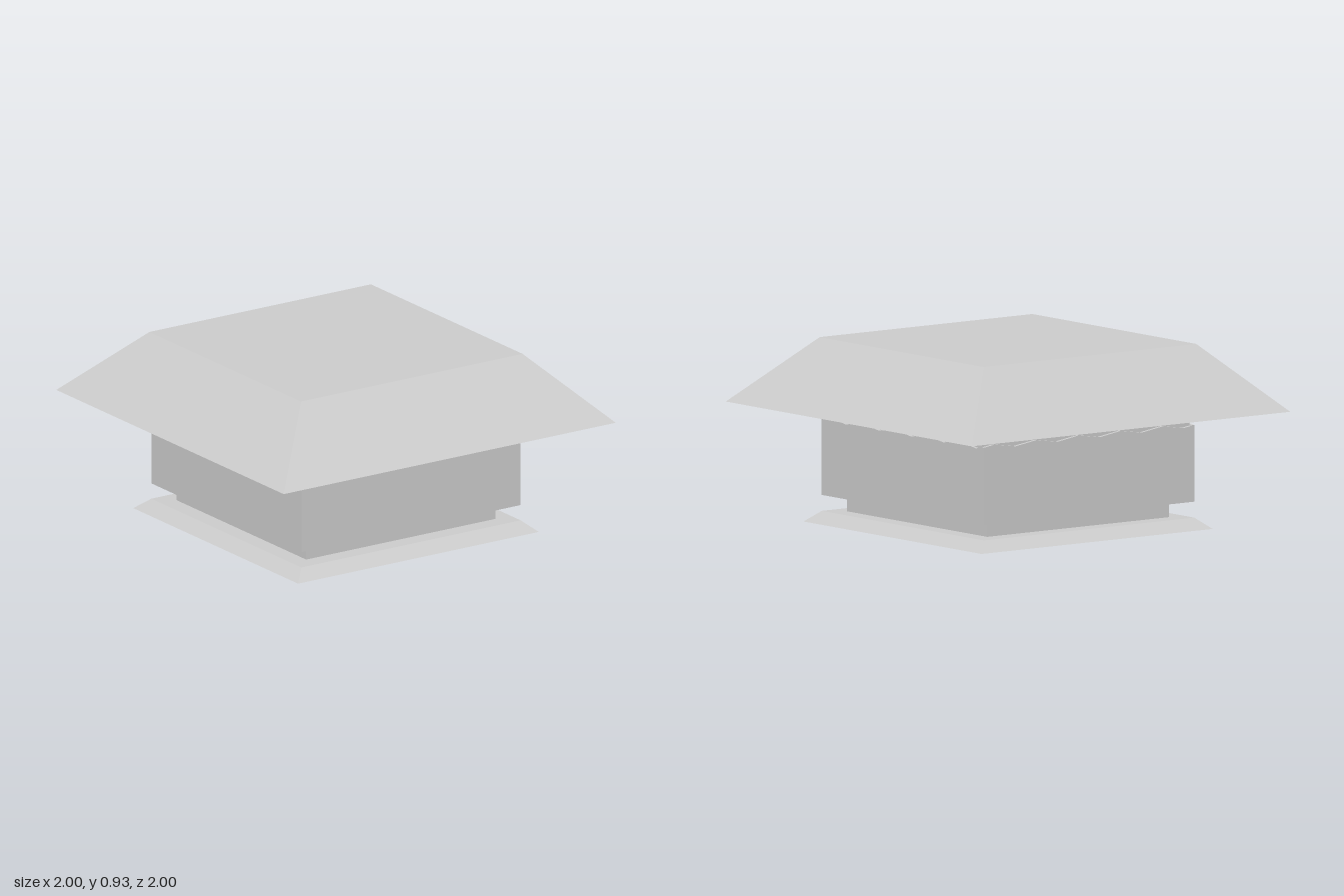
import * as THREE from 'three';

const material = new THREE.MeshStandardMaterial({ color: 0xcccccc, flatShading: true });

// Square block or frustum, given half widths at bottom and top
function squareBlock(name, halfBottom, halfTop, y0, y1) {
  const geo = new THREE.CylinderGeometry(halfTop * Math.SQRT2, halfBottom * Math.SQRT2, y1 - y0, 4, 1);
  geo.rotateY(Math.PI / 4);
  geo.translate(0, (y0 + y1) / 2, 0);
  const mesh = new THREE.Mesh(geo, material);
  mesh.name = name;
  return mesh;
}

const HALF = 0.66;   // outer half width of the cladding
const CORE = 0.643;  // half width of the recessed core
const WAVES = 5;
const AMP = 0.01;

// Zigzag edge running left to right around height y
function zigzag(y) {
  const period = (2 * HALF) / WAVES;
  const points = [new THREE.Vector2(-HALF, y)];
  for (let k = 0; k < WAVES * 2; k++) {
    points.push(new THREE.Vector2(-HALF + period * (0.25 + k / 2), y + (k % 2 ? -AMP : AMP)));
  }
  const gap = HALF - CORE;
  points.push(new THREE.Vector2(CORE, y - (AMP * gap) / (period / 4)));
  return points;
}

// Thin panel on the front face: one flat edge, one zigzag edge
function panel(name, flatY, zigzagY) {
  const shape = new THREE.Shape([
    ...zigzag(zigzagY),
    new THREE.Vector2(CORE, flatY),
    new THREE.Vector2(-HALF, flatY),
  ]);
  const geo = new THREE.ExtrudeGeometry(shape, { depth: HALF - CORE, bevelEnabled: false });
  geo.translate(0, 0, CORE);
  const mesh = new THREE.Mesh(geo, material);
  mesh.name = name;
  return mesh;
}

export function createModel() {
  const model = new THREE.Group();
  model.name = 'ventCap';

  model.add(
    squareBlock('basePlate', 0.725, 0.66, 0, 0.055),
    squareBlock('neck', 0.57, 0.57, 0.055, 0.135),
    squareBlock('core', CORE, CORE, 0.135, 0.595),
    squareBlock('roof', 1, 0.667, 0.595, 0.927),
  );

  // Cladding on all four sides, with a zigzag slot between wall and trim
  for (let i = 0; i < 4; i++) {
    const side = new THREE.Group();
    side.name = 'sideCladding' + (i + 1);
    side.add(panel('wallPanel', 0.135, 0.52), panel('upperTrim', 0.595, 0.57));
    side.rotation.y = (i * Math.PI) / 2;
    model.add(side);
  }
  return model;
}
